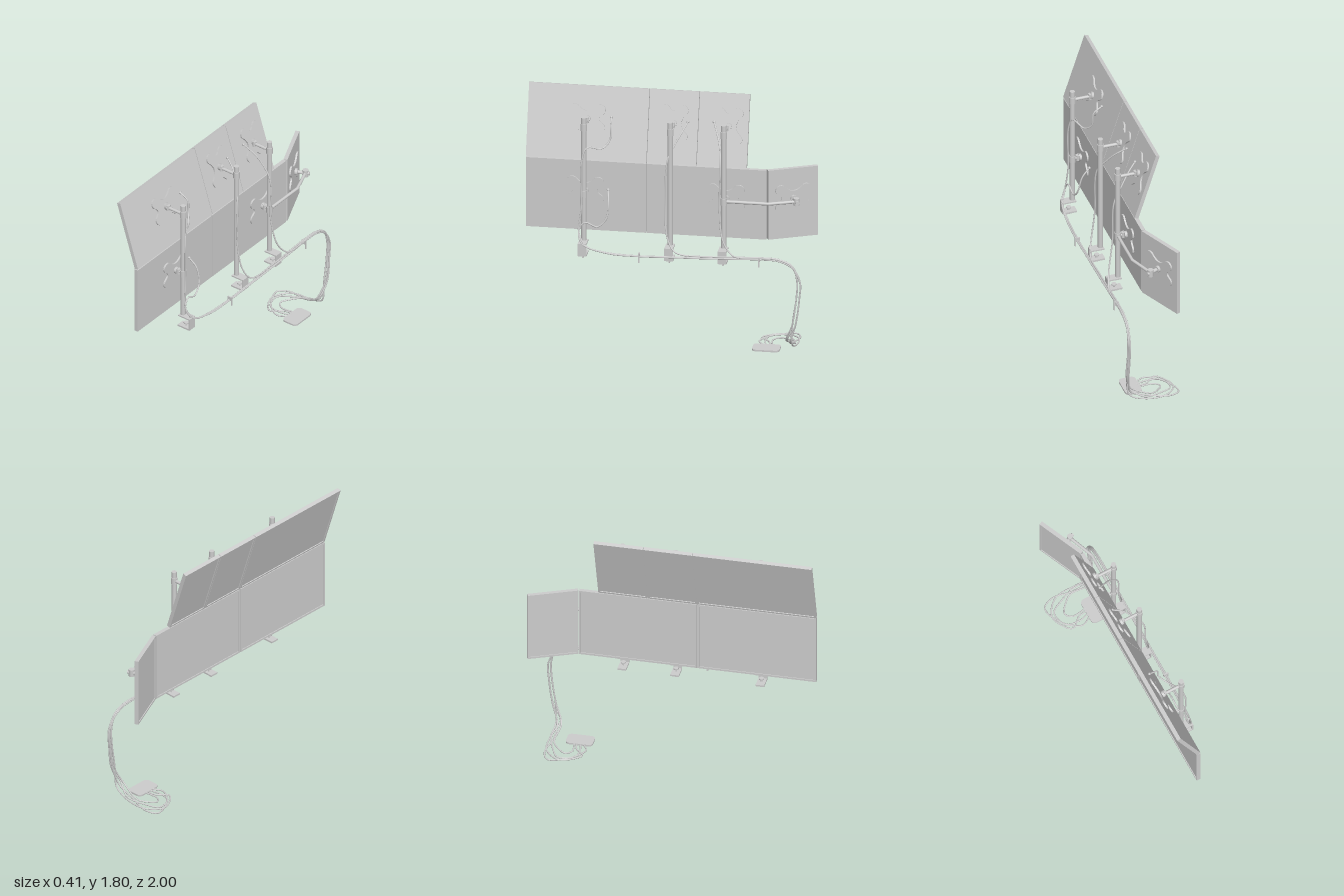
import * as THREE from 'three';

const body = new THREE.MeshStandardMaterial({ color: 0xcccccc });
body.name = 'light grey';

const V = (x, y, z) => new THREE.Vector3(x, y, z);

function add(parent, name, geometry, x = 0, y = 0, z = 0) {
  const mesh = new THREE.Mesh(geometry, body);
  mesh.name = name;
  mesh.position.set(x, y, z);
  parent.add(mesh);
  return mesh;
}

// Straight round bar between two points
function rod(parent, name, a, b, r, sides = 16) {
  const mesh = add(parent, name, new THREE.CylinderGeometry(r, r, a.distanceTo(b), sides));
  mesh.position.copy(a).add(b).multiplyScalar(0.5);
  mesh.quaternion.setFromUnitVectors(V(0, 1, 0), b.clone().sub(a).normalize());
}

// Four-lobed mounting plate, lying on a panel back that faces +x
function mountPlate(parent, y, z, portrait) {
  const s = new THREE.Shape();
  const cx = 0.09, cy = 0.062, r = 0.037;
  const [inner, outer] = [-1.0, 2.55];
  const lobes = [[1, 1], [-1, 1], [-1, -1], [1, -1]];
  lobes.forEach(([sx, sy], i) => {
    const flip = sx * sy < 0;
    const pts = [];
    for (let k = 0; k <= 10; k++) {
      const a = inner + (outer - inner) * (flip ? 10 - k : k) / 10;
      pts.push([sx * (cx + r * Math.cos(a)), sy * (cy + r * Math.sin(a))]);
    }
    if (i === 0) s.moveTo(...pts[0]);
    else if (i % 2) s.quadraticCurveTo(0, 0.025 * sy, ...pts[0]);
    else s.quadraticCurveTo(0.06 * sx, 0, ...pts[0]);
    pts.slice(1).forEach((p) => s.lineTo(...p));
  });
  s.quadraticCurveTo(0.06, 0, cx + r * Math.cos(inner), cy + r * Math.sin(inner));
  const geo = new THREE.ExtrudeGeometry(s, { depth: 0.012, bevelEnabled: false, curveSegments: 8 });
  if (portrait) geo.rotateZ(Math.PI / 2);
  geo.rotateY(Math.PI / 2);
  add(parent, 'mountPlate', geo, 0, y, z);
  rod(parent, 'mountHub', V(0.01, y, z), V(0.03, y, z), 0.024);
}

// Display panel: back at local x = 0, bottom at local y = 0, screen facing -x
function panel(parent, name, w, h) {
  const g = new THREE.Group();
  g.name = name;
  const b = 0.013, t = 0.028, lip = 0.006;
  add(g, 'casing', new THREE.BoxGeometry(t - lip, h, w), -(t - lip) / 2, h / 2, 0);
  for (const s of [-1, 1]) {
    add(g, 'bezelSide', new THREE.BoxGeometry(lip, h, b), -t + lip / 2, h / 2, s * (w - b) / 2);
    add(g, 'bezelEdge', new THREE.BoxGeometry(lip, b, w - 2 * b), -t + lip / 2, h / 2 + s * (h - b) / 2, 0);
  }
  parent.add(g);
  return g;
}

function cable(parent, name, points) {
  const curve = new THREE.CatmullRomCurve3(points, false, 'centripetal');
  add(parent, name, new THREE.TubeGeometry(curve, points.length * 7, 0.0055, 8));
  add(parent, 'cablePlug', new THREE.SphereGeometry(0.01, 10, 8)).position.copy(points[0]);
}

export function createModel() {
  const model = new THREE.Group();
  model.name = 'monitorWall';

  // Lower row of panels
  for (const [z0, z1, plateZ] of [[0.167, 1, 0.588], [-0.663, 0.163, -0.385]]) {
    const g = panel(model, 'lowerPanel', z1 - z0, 0.508);
    g.position.set(0.01, 0.796, (z0 + z1) / 2);
    mountPlate(g, 0.294, plateZ - (z0 + z1) / 2, false);
  }

  // Angled side panel
  const hinge = new THREE.Group();
  hinge.name = 'sidePanelHinge';
  hinge.position.set(0.01, 0.796, -0.677);
  hinge.rotation.y = 0.42;
  const side = panel(hinge, 'sidePanel', 0.354, 0.508);
  side.position.z = -0.177;
  mountPlate(side, 0.294, 0, false);
  rod(side, 'mountNeck', V(0.02, 0.294, 0), V(0.115, 0.294, 0), 0.013);
  rod(side, 'neckJoint', V(0.085, 0.268, 0), V(0.085, 0.32, 0), 0.02);
  model.add(hinge);

  // Tilted upper row of panels
  for (const [z0, z1, plateZ, portrait] of [
    [0.167, 1, 0.588, false], [-0.178, 0.163, -0.01, true], [-0.527, -0.182, -0.39, false]]) {
    const g = panel(model, 'upperPanel', z1 - z0, 0.507);
    g.position.set(0.012, 1.315, (z0 + z1) / 2);
    g.rotation.z = 0.308;
    mountPlate(g, 0.28, plateZ - (z0 + z1) / 2, portrait || plateZ < 0);
  }

  // Poles, arms and desk clamps
  const px = 0.085;
  for (const [z, lower] of [[0.588, true], [-0.01, false], [-0.38, true]]) {
    const g = new THREE.Group();
    g.name = 'stand';
    g.position.z = z;
    model.add(g);
    rod(g, 'pole', V(px, 0.745, 0), V(px, 1.65, 0), 0.018, 20);
    for (const [y, x] of lower ? [[1.58, -0.06], [1.09, 0.03]] : [[1.58, -0.06]]) {
      rod(g, 'collar', V(px, y - 0.025, 0), V(px, y + 0.025, 0), 0.023);
      rod(g, 'arm', V(x, y, 0), V(px + 0.02, y, 0), 0.011);
      rod(g, 'armJoint', V(x + 0.015, y - 0.02, 0), V(x + 0.015, y + 0.02, 0), 0.015);
    }
    add(g, 'clampTop', new THREE.BoxGeometry(0.1, 0.01, 0.06), 0.115, 0.745, 0);
    add(g, 'clampBack', new THREE.BoxGeometry(0.01, 0.09, 0.06), 0.16, 0.705, 0);
    add(g, 'clampJaw', new THREE.BoxGeometry(0.1, 0.012, 0.06), 0.11, 0.662, 0);
    rod(g, 'clampScrew', V(0.112, 0.635, 0), V(0.112, 0.695, 0), 0.006, 10);
    rod(g, 'clampPad', V(0.112, 0.686, 0), V(0.112, 0.695, 0), 0.018);
    add(g, 'clampHandle', new THREE.BoxGeometry(0.046, 0.014, 0.008), 0.112, 0.642, 0);
  }

  // Bent arm reaching the side panel
  const bend = [V(px, 1.09, -0.38), V(px, 1.09, -0.69), V(0.015, 1.09, -0.872)];
  rod(model, 'longArm', bend[0], bend[1], 0.011);
  rod(model, 'longArmTip', bend[1], bend[2], 0.011);
  add(model, 'longArmElbow', new THREE.SphereGeometry(0.011, 12, 8)).position.copy(bend[1]);

  // Shared cable route: along the desk, then down to the floor
  const route = [
    [0.175, 0.704, 0.42], [0.18, 0.695, 0.2], [0.18, 0.7, 0], [0.18, 0.708, -0.3], [0.18, 0.716, -0.5],
    [0.18, 0.722, -0.66], [0.18, 0.715, -0.78], [0.18, 0.67, -0.87], [0.183, 0.57, -0.912],
    [0.183, 0.45, -0.908], [0.182, 0.25, -0.88]];
  const floorLoops = [
    [[0.15, 0.11, -0.85], [0.03, 0.06, -0.85], [-0.12, 0.04, -0.88], [-0.2, 0.033, -0.84], [-0.15, 0.033, -0.7], [-0.03, 0.033, -0.61]],
    [[0.16, 0.13, -0.83], [0.06, 0.065, -0.87], [-0.08, 0.045, -0.83], [-0.16, 0.036, -0.78], [-0.13, 0.033, -0.67], [-0.03, 0.033, -0.65]],
    [[0.165, 0.1, -0.865], [0.06, 0.055, -0.88], [-0.1, 0.042, -0.87], [-0.185, 0.033, -0.76], [-0.1, 0.033, -0.62], [-0.02, 0.033, -0.68]],
    [[0.14, 0.12, -0.82], [0.0, 0.06, -0.84], [-0.06, 0.045, -0.8], [-0.1, 0.036, -0.74], [-0.06, 0.033, -0.7], [-0.01, 0.033, -0.7]]];
  const leads = [
    [[-0.07, 1.6, 0.42], [-0.01, 1.56, 0.415], [0.0, 1.46, 0.42], [0.04, 1.41, 0.47], [0.09, 1.43, 0.565],
      [0.11, 1.34, 0.598], [0.112, 1.0, 0.6], [0.13, 0.82, 0.615], [0.165, 0.735, 0.56]],
    [[0.015, 1.1, 0.43], [0.07, 1.04, 0.42], [0.1, 0.92, 0.43], [0.11, 0.86, 0.49], [0.118, 0.89, 0.575],
      [0.125, 0.84, 0.615], [0.16, 0.75, 0.59]],
    [[-0.07, 1.6, -0.11], [0.0, 1.55, -0.08], [0.05, 1.48, -0.04], [0.105, 1.38, 0.005], [0.115, 1.03, 0.02],
      [0.147, 0.82, 0.0], [0.175, 0.73, -0.06]],
    [[-0.07, 1.61, -0.29], [-0.01, 1.55, -0.32], [0.04, 1.48, -0.345], [0.105, 1.35, -0.36], [0.115, 1.03, -0.355],
      [0.15, 0.82, -0.385], [0.175, 0.735, -0.45]]];
  leads.forEach((lead, i) => {
    const dx = i % 2 ? 0.005 : -0.005, dy = i > 1 ? 0.005 : -0.005;
    const lastZ = lead[lead.length - 1][2];
    const shared = route.filter((p) => p[2] < lastZ - 0.03)
      .map(([x, y, z]) => [x + dx, y + dy, z + (y < 0.66 ? dy * 2 : 0)]);
    cable(model, 'cable', [...lead, ...shared, ...floorLoops[i], [0.05, 0.034, -0.65 - i * 0.02]].map((p) => V(...p)));
  });

  // Cable ties
  for (const [y, z] of [[0.69, 0.19], [0.705, -0.64]]) {
    add(model, 'cableTie', new THREE.BoxGeometry(0.03, 0.03, 0.01), 0.18, y + 0.01, z);
    add(model, 'cableTieTail', new THREE.BoxGeometry(0.008, 0.07, 0.01), 0.197, y - 0.006, z);
  }

  // Floor pad with rounded corners and a peg
  const w = 0.06, d = 0.095, r = 0.03;
  const s = new THREE.Shape();
  s.absarc(w - r, d - r, r, 0, Math.PI / 2);
  s.absarc(r - w, d - r, r, Math.PI / 2, Math.PI);
  s.absarc(r - w, r - d, r, Math.PI, Math.PI * 1.5);
  s.absarc(w - r, r - d, r, Math.PI * 1.5, Math.PI * 2);
  const pad = new THREE.ExtrudeGeometry(s, { depth: 0.012, bevelEnabled: false, curveSegments: 6 });
  pad.rotateX(-Math.PI / 2);
  add(model, 'floorPad', pad, 0.094, 0.027, -0.677);
  rod(model, 'padPeg', V(0.075, 0.004, -0.66), V(0.055, 0.032, -0.66), 0.006, 10);

  return model;
}
